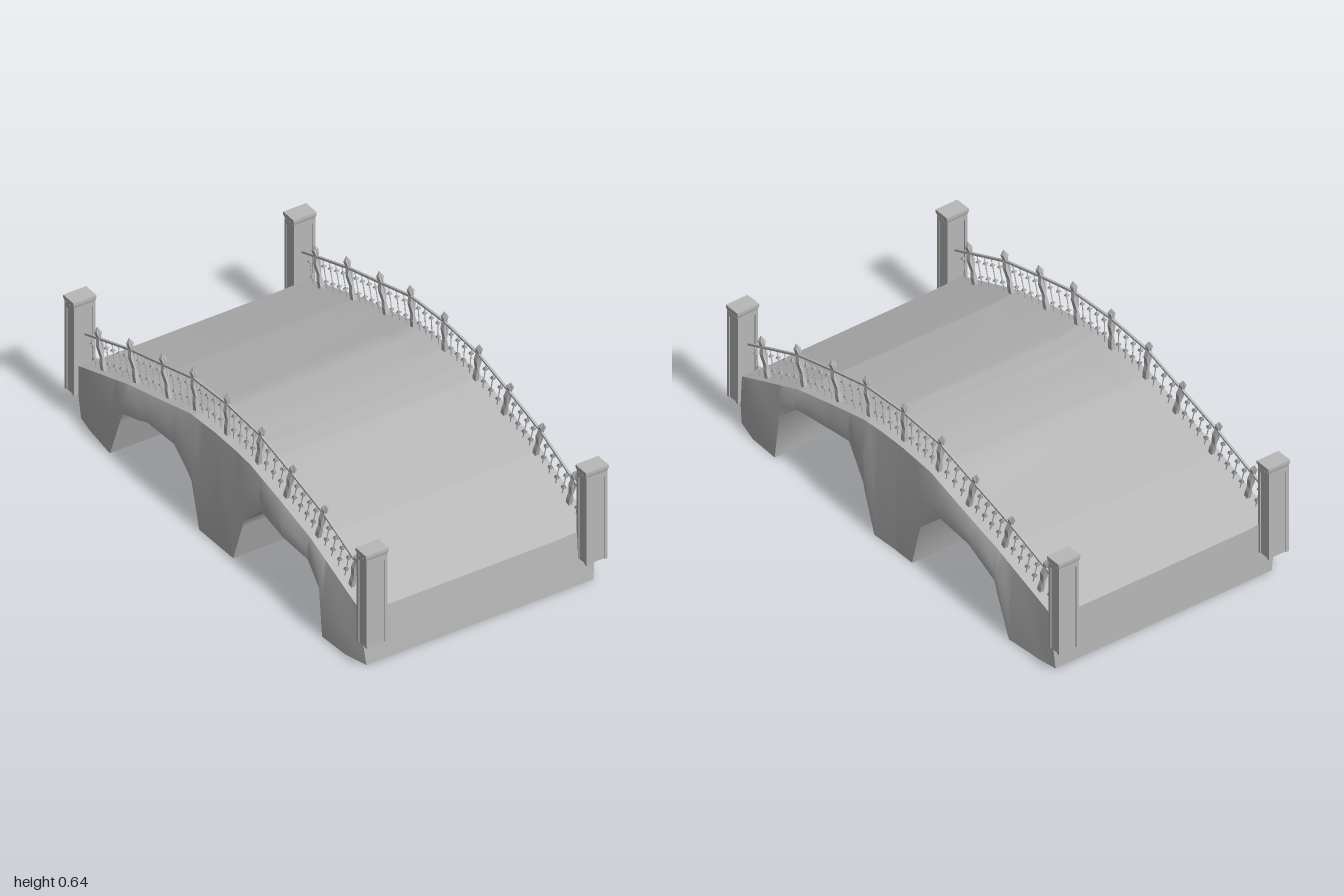
import * as THREE from 'three';

const stone = new THREE.MeshStandardMaterial({ color: 0xb8b8b8, side: THREE.DoubleSide });
stone.name = 'grey stone';

// Profiles along the bridge: [z, value]
const END = 0.935;
const TOP = [[-END, 0.235], [-0.6, 0.35], [-0.38, 0.41], [-0.2, 0.462], [-0.03, 0.475], [0.1, 0.473],
  [0.2, 0.465], [0.39, 0.42], [0.6, 0.365], [END, 0.225]];
const BOTTOM = [[-END, 0], [-0.69, 0], [-0.61, 0.22], [-0.45, 0.29], [-0.27, 0.3], [-0.155, 0.19], [-0.105, 0],
  [0.115, 0], [0.18, 0.2], [0.285, 0.32], [0.59, 0.285], [0.685, 0.2], [0.71, 0], [END, 0]];
const LEAN = [[-0.9, -0.25], [-0.6, -0.29], [-0.38, -0.28], [-0.205, -0.13], [0, 0],
  [0.205, 0.15], [0.39, 0.28], [0.6, 0.29], [0.9, 0.24]];
// Half-width of the bulging side walls
const LEFT_WALL = [[-END, 0.507], [-0.8, 0.515], [-0.63, 0.53], [-0.3, 0.523], [0, 0.522], [0.17, 0.53],
  [0.28, 0.515], [0.55, 0.52], [0.71, 0.53], [0.85, 0.525], [END, 0.507]];
const RIGHT_WALL = [[-END, 0.507], [-0.85, 0.515], [-0.7, 0.533], [-0.5, 0.53], [-0.2, 0.532], [0.1, 0.528],
  [0.27, 0.518], [0.45, 0.53], [0.6, 0.518], [0.71, 0.533], [0.85, 0.525], [END, 0.507]];

function sample(list, z) {
  let i = 1;
  while (i < list.length - 1 && list[i][0] < z) i++;
  const [z0, v0] = list[i - 1], [z1, v1] = list[i];
  return v0 + (v1 - v0) * THREE.MathUtils.clamp((z - z0) / (z1 - z0), 0, 1);
}

function mesh(geometry, name, parent) {
  const m = new THREE.Mesh(geometry, stone);
  m.name = name;
  parent.add(m);
  return m;
}

// Smooth sheet through rows of points
function sheet(rows) {
  const n = rows[0].length, index = [];
  for (let i = 0; i < rows.length - 1; i++) for (let j = 0; j < n - 1; j++) {
    const a = i * n + j, b = a + n;
    index.push(a, b, a + 1, b, b + 1, a + 1);
  }
  const g = new THREE.BufferGeometry();
  g.setAttribute('position', new THREE.Float32BufferAttribute(rows.flat(2), 3));
  g.setIndex(index);
  g.computeVertexNormals();
  return g;
}

// The front end wall leans outwards towards its foot
const footZ = (z, y) => (z === END ? z + 0.015 * (1 - y / 0.225) : z);

// Cross-section points of the masonry at one station
function section(z) {
  const top = sample(TOP, z), low = sample(BOTTOM, z);
  const fade = 1 - Math.abs(z) / END;
  const deckY = (x) => top - 0.004 - fade * (0.018 - 0.025 * x);
  const wall = (s, table) => {
    const edge = top - fade * (s > 0 ? 0.004 : 0.012);
    const foot = low > 0.25 && s < 0 ? low - 0.015 : low;
    const x = sample(table, z), mid = (edge + foot) / 2;
    return [[s * 0.505, edge, z], [s * x, mid, footZ(z, mid)],
      [s * (x - (Math.abs(z) === END ? 0.012 : 0.003)), foot, footZ(z, foot)]];
  };
  const left = wall(1, LEFT_WALL), right = wall(-1, RIGHT_WALL).reverse();
  return {
    left, right,
    curbLeft: [[0.37, deckY(0.37), z], [0.475, top, z], left[0]],
    curbRight: [right[2], [-0.475, top - fade * 0.01, z], [-0.37, deckY(-0.37), z]],
    deck: [[-0.37, deckY(-0.37), z], [0, deckY(0), z], [0.37, deckY(0.37), z]],
    under: [left[2], [0, low, z], right[0]],
  };
}

function masonry(root) {
  const zs = [...new Set([...TOP, ...BOTTOM, ...LEFT_WALL, ...RIGHT_WALL].map((p) => p[0]))].sort((a, b) => a - b);
  const cuts = zs.map(section);
  const group = new THREE.Group();
  group.name = 'masonry';
  root.add(group);
  const names = { left: 'leftWall', right: 'rightWall', curbLeft: 'leftCurb', curbRight: 'rightCurb', deck: 'deck' };
  for (const key in names) mesh(sheet(cuts.map((c) => c[key])), names[key], group);

  // Arch soffits; the piers are hollow and open below
  for (const [a, b] of [[-0.69, -0.105], [0.115, 0.71]]) {
    mesh(sheet(cuts.filter((c, i) => zs[i] >= a && zs[i] <= b).map((c) => c.under)), 'archSoffit', group);
  }

  // End walls
  for (const s of [1, -1]) {
    const c = section(s * END);
    const column = ([x, y, z]) => [[x, 0, footZ(z, 0)], [x, y / 2, footZ(z, y / 2)], [x, y, z]];
    const rows = [c.right, ...c.deck.map(column), [...c.left].reverse()];
    mesh(sheet(s > 0 ? rows : rows.reverse()), s > 0 ? 'frontEndWall' : 'backEndWall', group);
  }
}

// Square corner pillar with framed panels and a flared cap
function pillar(x, z, root) {
  const g = new THREE.Group();
  g.name = 'cornerPillar';
  g.position.set(x, 0, z);
  root.add(g);
  const box = (w, h, d, px, y, pz, name) =>
    mesh(new THREE.BoxGeometry(w, h, d), name, g).position.set(px, y, pz);
  box(0.084, 0.37, 0.054, 0, 0.295, 0, 'pillarShaft');
  for (const sx of [-1, 1]) for (const sz of [-1, 1]) {
    box(0.012, 0.37, 0.012, sx * 0.04, 0.295, sz * 0.026, 'panelFrame');
  }
  box(0.092, 0.02, 0.064, 0, 0.488, 0, 'pillarNeck');
  const flare = new THREE.CylinderGeometry(0.05 * Math.SQRT2, 0.045 * Math.SQRT2, 0.014, 4, 1).toNonIndexed();
  flare.rotateY(Math.PI / 4).scale(1, 1, 0.7);
  flare.computeVertexNormals();
  mesh(flare, 'capMoulding', g).position.y = 0.505;
  box(0.1, 0.012, 0.07, 0, 0.517, 0, 'pillarCap');
}

// Flat post with a waisted outline, narrowing to a point
function postGeometry() {
  const half = [[0.008, -0.02], [0.008, 0.03], [0.004, 0.055], [0.012, 0.1], [0.005, 0.132], [0.011, 0.154]];
  const outline = [...half, [0, 0.174], ...half.map(([x, y]) => [-x, y]).reverse()];
  const shape = new THREE.Shape(outline.map(([x, y]) => new THREE.Vector2(x, y)));
  const g = new THREE.ExtrudeGeometry(shape, { depth: 0.02, bevelEnabled: false }).translate(0, 0, -0.01);
  const p = g.attributes.position;
  for (let i = 0; i < p.count; i++) if (p.getY(i) > 0.16) p.setZ(i, p.getZ(i) * 0.15);
  g.computeVertexNormals();
  return g;
}

// Slim baluster with two flat knobs
function balusterGeometry() {
  const profile = [[0.002, 0], [0.002, 0.028], [0.011, 0.036], [0.002, 0.044], [0.002, 0.09],
    [0.011, 0.098], [0.002, 0.106], [0.002, 0.125]];
  return new THREE.LatheGeometry(profile.map(([r, y]) => new THREE.Vector2(r, y)), 6);
}

function railing(s, root) {
  const g = new THREE.Group();
  g.name = s > 0 ? 'leftRailing' : 'rightRailing';
  g.position.x = s * 0.474;
  root.add(g);
  const post = postGeometry(), baluster = balusterGeometry();
  const place = (geometry, name, z) => {
    const m = mesh(geometry, name, g);
    m.position.set(0, sample(TOP, z) - 0.004, z);
    m.rotation.x = sample(LEAN, z);
  };
  const railPoint = (z) => {
    const a = sample(LEAN, z), h = 0.124;
    return new THREE.Vector3(0, sample(TOP, z) + h * Math.cos(a), z + h * Math.sin(a));
  };
  const posts = [-0.815, -0.6, -0.385, -0.205, 0, 0.205, 0.39, 0.6, 0.82];
  const stops = [-0.915, ...posts, 0.915];
  posts.forEach((z) => place(post, 'railPost', z));
  for (let i = 0; i < stops.length - 1; i++) {
    const a = stops[i], b = stops[i + 1], count = Math.round((b - a) / 0.042);
    for (let k = 1; k < count; k++) place(baluster, 'baluster', a + (b - a) * k / count);
    // Top rail of this bay
    const p = railPoint(a), q = railPoint(b);
    const bar = mesh(new THREE.BoxGeometry(0.009, 0.008, p.distanceTo(q) + 0.004), 'topRail', g);
    bar.position.copy(p).add(q).multiplyScalar(0.5);
    bar.rotation.x = -Math.atan2(q.y - p.y, q.z - p.z);
  }
}

export function createModel() {
  const root = new THREE.Group();
  root.name = 'archBridge';
  masonry(root);
  for (const s of [1, -1]) {
    railing(s, root);
    for (const e of [1, -1]) pillar(s * 0.48, e * 0.965, root);
  }
  return root;
}
